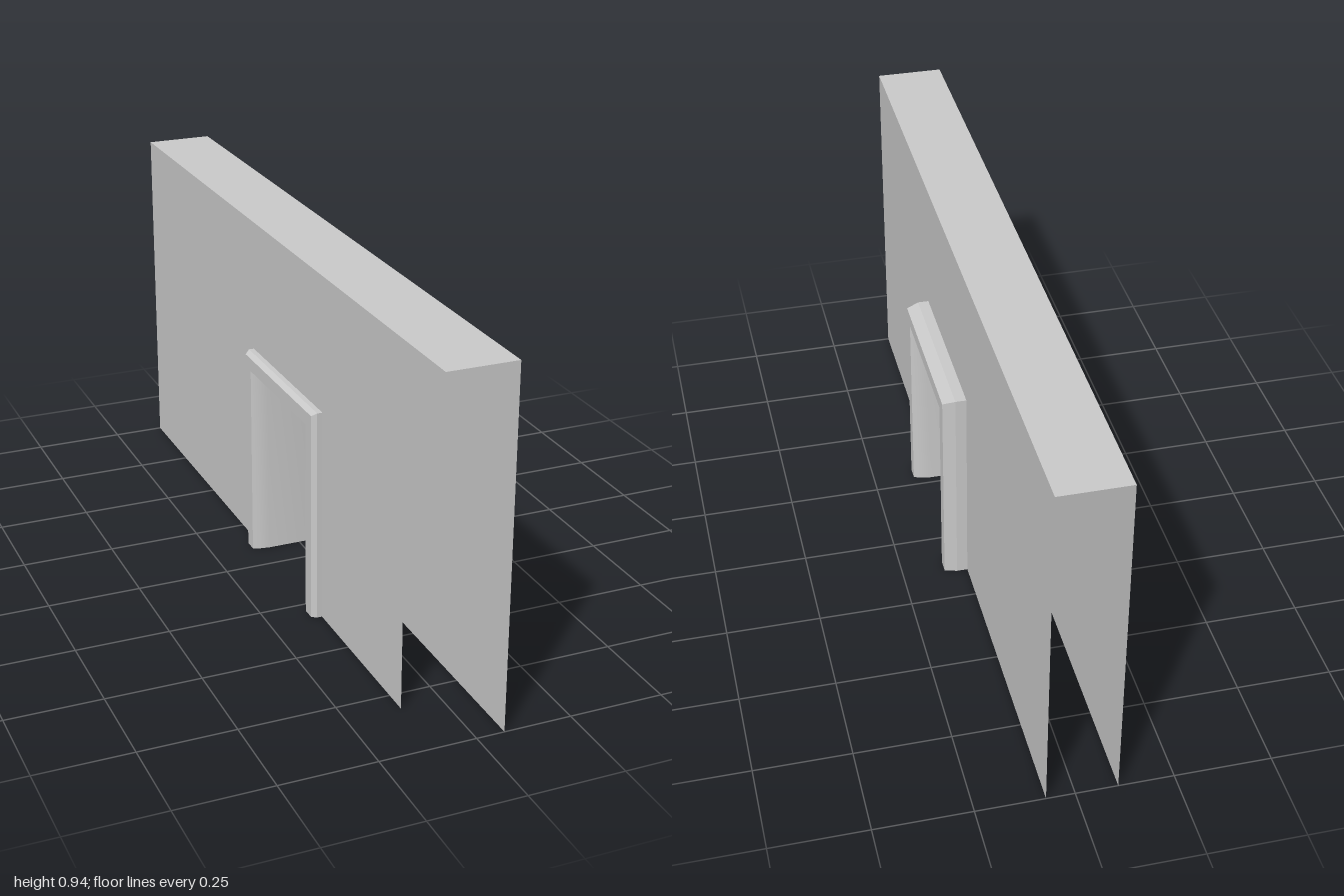
import * as THREE from 'three';
import { toCreasedNormals } from 'three/addons/utils/BufferGeometryUtils.js';

const material = new THREE.MeshStandardMaterial({ color: 0xcccccc, side: THREE.DoubleSide });

// Wall faces, wall height, and the outer outline of the door frame
const LEFT = 0.073, RIGHT = -0.108, HEIGHT = 0.937;
const DOOR = { back: -0.147, front: 0.329, top: 0.578 };

function addMesh(parent, geometry, name) {
  const mesh = new THREE.Mesh(geometry, material);
  mesh.name = name;
  parent.add(mesh);
  return mesh;
}

// Flat wall sheet with a doorway notch, drawn in (z, y) and turned to face sideways
function wallSheet(zBack, zFront) {
  const shape = new THREE.Shape([
    [zBack, 0], [DOOR.back, 0], [DOOR.back, DOOR.top], [DOOR.front, DOOR.top],
    [DOOR.front, 0], [zFront, 0], [zFront, HEIGHT], [zBack, HEIGHT],
  ].map(([z, y]) => new THREE.Vector2(z, y)));
  return new THREE.ShapeGeometry(shape).rotateY(-Math.PI / 2);
}

// Sweep a section of [x, inset] points up one jamb, across the head and down the other
function frameSweep(section, crease) {
  const positions = [], index = [], n = section.length;
  for (let corner = 0; corner < 4; corner++) {
    for (const [x, inset] of section) {
      const z = corner < 2 ? DOOR.front - inset : DOOR.back + inset;
      const y = corner === 0 || corner === 3 ? 0 : DOOR.top - inset;
      positions.push(x, y, z);
    }
  }
  for (let c = 0; c < 3; c++) {
    for (let i = 0; i < n - 1; i++) {
      const a = c * n + i, b = a + n;
      index.push(a, a + 1, b, a + 1, b + 1, b);
    }
  }
  const geometry = new THREE.BufferGeometry();
  geometry.setAttribute('position', new THREE.Float32BufferAttribute(positions, 3));
  geometry.setIndex(index);
  return toCreasedNormals(geometry, crease);
}

export function createModel() {
  const model = new THREE.Group();
  model.name = 'wallWithDoorway';

  // Wall sheets (the right one stops short of the front end) and the top cap
  const wall = new THREE.Group();
  wall.name = 'wall';
  model.add(wall);
  addMesh(wall, wallSheet(-1, 1), 'leftWall').position.x = LEFT;
  addMesh(wall, wallSheet(-1, 0.815), 'rightWall').position.x = RIGHT;
  const cap = addMesh(wall, new THREE.PlaneGeometry(LEFT - RIGHT, 2).rotateX(-Math.PI / 2), 'topCap');
  cap.position.set((LEFT + RIGHT) / 2, HEIGHT, 0);

  // Door frame: bevelled trim on each wall face, and a lining that flares at both ends
  const frame = new THREE.Group();
  frame.name = 'doorFrame';
  model.add(frame);
  addMesh(frame, frameSweep([[LEFT, 0], [0.102, 0], [0.135, 0.009], [0.135, 0.045]], 0.1), 'leftTrim');
  addMesh(frame, frameSweep([[-0.135, 0.045], [-0.135, 0.009], [-0.122, 0], [RIGHT, 0]], 0.1), 'rightTrim');
  const lining = [
    [0.135, 0.045], [0.115, 0.053], [0.09, 0.057],
    [-0.09, 0.057], [-0.115, 0.053], [-0.135, 0.045],
  ];
  addMesh(frame, frameSweep(lining, 0.6), 'doorLining');

  return model;
}
